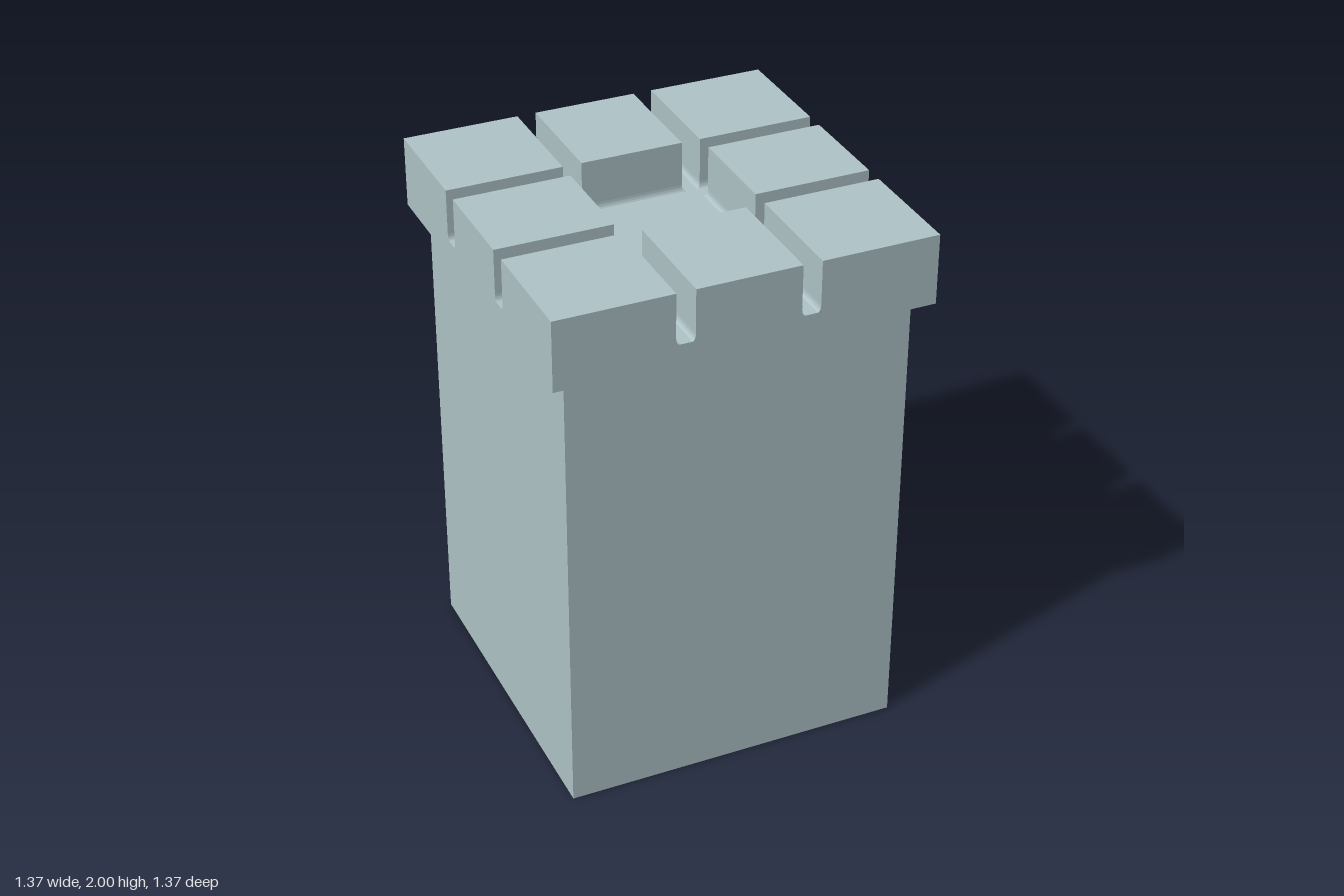
import * as THREE from 'three';

const FLOOR = 1.81, TOP = 2, FILLET_X = 0.012, FILLET_Y = 0.025, STEPS = 4;

// Battlement block whose slot-side walls flare into the floor with a small fillet.
// Outer walls (at the edge of the rim) stay plain.
function blockGeometry([x0, x1], [z0, z1], [inX0, inX1], [inZ0, inZ1]) {
  const geo = new THREE.BoxGeometry(1, 1, 1, 1, STEPS + 1, 1);
  const p = geo.attributes.position;
  for (let i = 0; i < p.count; i++) {
    const row = Math.round((p.getY(i) + 0.5) * (STEPS + 1));
    const a = (Math.min(row, STEPS) / STEPS) * Math.PI / 2;
    const flare = row > STEPS ? 0 : FILLET_X * (1 - Math.sin(a));
    const y = row > STEPS ? TOP : FLOOR + FILLET_Y * (1 - Math.cos(a));
    const x = p.getX(i) < 0 ? x0 - flare * inX0 : x1 + flare * inX1;
    const z = p.getZ(i) < 0 ? z0 - flare * inZ0 : z1 + flare * inZ1;
    p.setXYZ(i, x, y, z);
  }
  const flat = geo.toNonIndexed();
  flat.computeVertexNormals();
  return flat;
}

export function createModel() {
  const model = new THREE.Group();
  const stone = new THREE.MeshStandardMaterial({ color: 0xb0c4c8 });
  stone.name = 'paleStone';
  stone.side = THREE.DoubleSide;

  const add = (name, geometry, parent = model) => {
    const mesh = new THREE.Mesh(geometry, stone);
    mesh.name = name;
    parent.add(mesh);
    return mesh;
  };

  // Hollow shaft: four thin walls, open underneath
  const shaft = new THREE.Group();
  shaft.name = 'shaft';
  model.add(shaft);
  const half = 0.625, height = 1.74;
  ['frontWall', 'leftWall', 'backWall', 'rightWall'].forEach((name, i) => {
    const wall = new THREE.PlaneGeometry(half * 2, height);
    wall.translate(0, height / 2, half);
    wall.rotateY(i * Math.PI / 2);
    add(name, wall, shaft);
  });

  // Overhanging slab that carries the battlements
  const slab = new THREE.BoxGeometry(1.37, FLOOR - height, 1.37);
  add('rimSlab', slab).position.y = (FLOOR + height) / 2;

  // Eight blocks around an open middle, parted by narrow slots
  const battlements = new THREE.Group();
  battlements.name = 'battlements';
  model.add(battlements);
  const spans = [[-0.685, -0.26], [-0.191, 0.187], [0.256, 0.685]];
  const inner = [[0, 1], [1, 1], [1, 0]];
  for (let i = 0; i < 3; i++) {
    for (let j = 0; j < 3; j++) {
      if (i === 1 && j === 1) continue;
      add('battlementBlock', blockGeometry(spans[i], spans[j], inner[i], inner[j]), battlements);
    }
  }
  return model;
}
